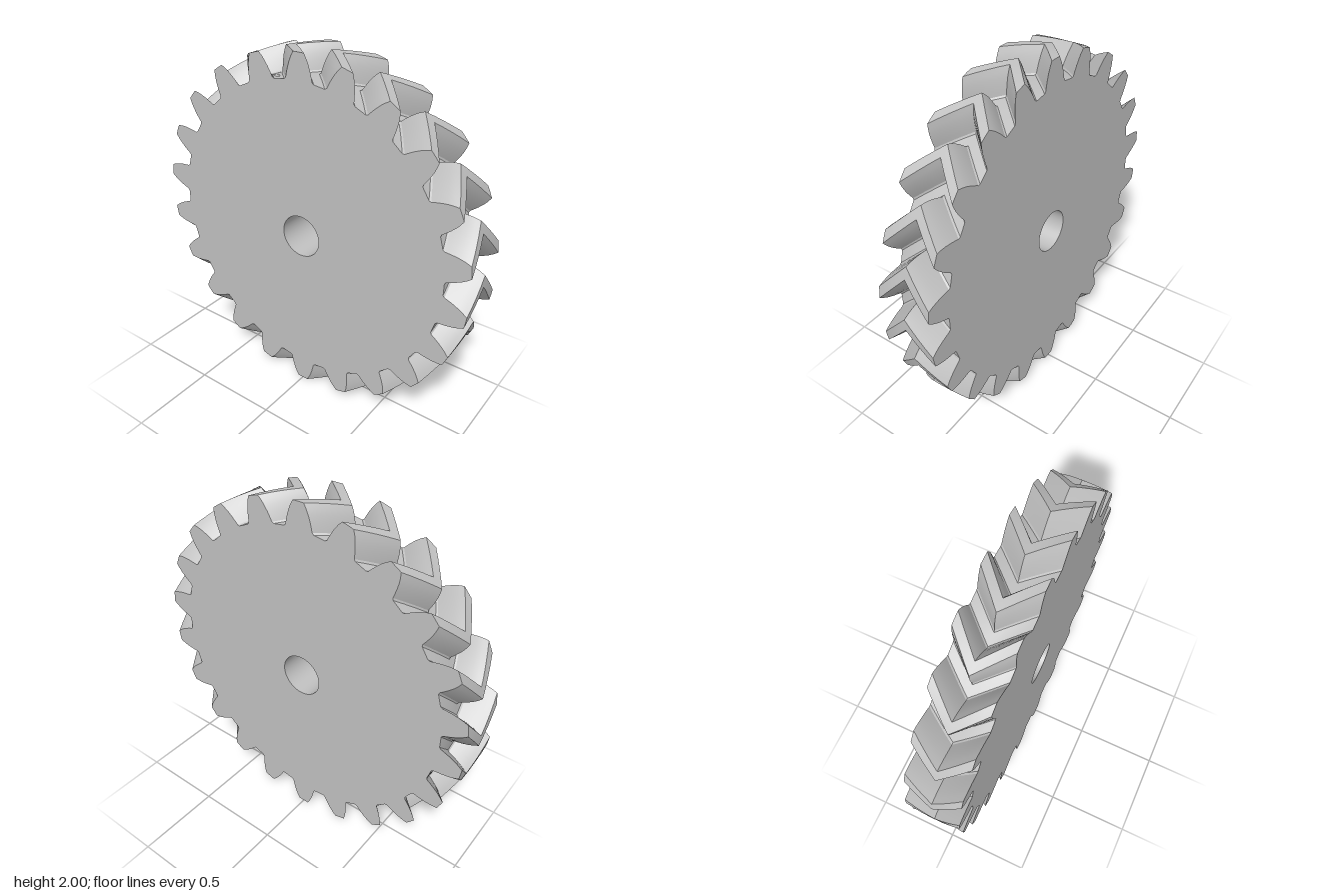
import * as THREE from 'three';
import { toCreasedNormals } from 'three/addons/utils/BufferGeometryUtils.js';

const TEETH = 22;
const WIDTH = 0.3;
const BORE = 0.12;
const TWIST = THREE.MathUtils.degToRad(9.5);

// Half of one tooth: [radius, half angle in degrees], from root to tip
const FLANK = [
  [0.862, 6.0], [0.87, 5.35], [0.89, 4.95], [0.92, 4.3],
  [0.95, 3.55], [0.975, 2.8], [1, 1.9],
];

// Outline of the whole toothed wheel, with the round bore as a hole
function gearShape() {
  const points = [];
  const tooth = [
    ...FLANK.map(([r, a]) => [r, -a]),
    [1, 0],
    ...FLANK.map(([r, a]) => [r, a]).reverse(),
  ];
  for (let i = 0; i < TEETH; i++) {
    const centre = 90 + (i * 360) / TEETH;
    for (const [r, a] of tooth) {
      const t = THREE.MathUtils.degToRad(centre + a);
      points.push(new THREE.Vector2(r * Math.cos(t), r * Math.sin(t)));
    }
  }
  const shape = new THREE.Shape(points);
  shape.holes.push(new THREE.Path().absarc(0, 0, BORE, 0, Math.PI * 2, true));
  return shape;
}

export function createModel() {
  const steel = new THREE.MeshStandardMaterial({ color: 0xc0c0c0 });
  steel.name = 'steel grey';

  const geometry = new THREE.ExtrudeGeometry(gearShape(), {
    depth: WIDTH, steps: 8, bevelEnabled: false, curveSegments: 20,
  });
  geometry.translate(0, 0, -WIDTH / 2);

  // Herringbone: turn each slice, most at the middle plane; the bore stays straight
  const pos = geometry.attributes.position;
  const v = new THREE.Vector3();
  const axis = new THREE.Vector3(0, 0, 1);
  for (let i = 0; i < pos.count; i++) {
    v.fromBufferAttribute(pos, i);
    if (Math.hypot(v.x, v.y) < 0.5) continue;
    v.applyAxisAngle(axis, -TWIST * (1 - Math.abs(v.z) / (WIDTH / 2)));
    pos.setXYZ(i, v.x, v.y, v.z);
  }

  // Lay the axle along x
  geometry.rotateY(Math.PI / 2);

  const gear = new THREE.Mesh(toCreasedNormals(geometry, 0.4), steel);
  gear.name = 'herringboneGear';
  gear.position.y = 1;

  const group = new THREE.Group();
  group.name = 'gear';
  group.add(gear);
  return group;
}
